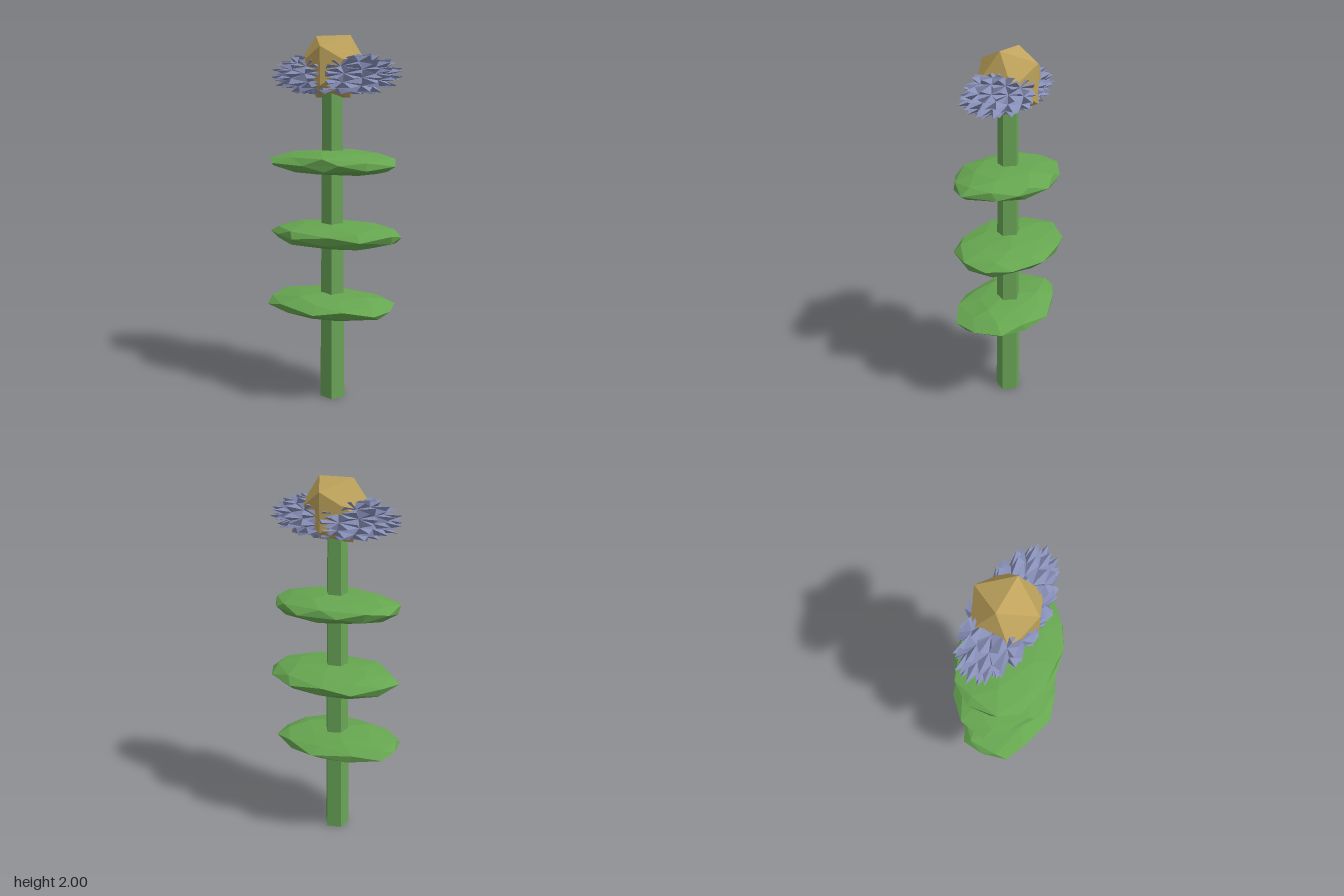
import * as THREE from 'three';
import { mergeVertices } from 'three/addons/utils/BufferGeometryUtils.js';

const AXIS_X = -0.013, AXIS_Z = -0.005;

function seeded(seed) {
  let s = seed;
  return () => ((s = (s * 16807) % 2147483647) / 2147483647);
}

function material(color) {
  return new THREE.MeshStandardMaterial({ color, flatShading: true });
}

// Welded unit icosphere whose corners are pushed in and out a little
function roughSphere(detail, amount, random) {
  const ball = new THREE.IcosahedronGeometry(1, detail);
  ball.deleteAttribute('normal');
  ball.deleteAttribute('uv');
  const geometry = mergeVertices(ball, 1e-3);
  const p = geometry.attributes.position;
  const v = new THREE.Vector3();
  for (let i = 0; i < p.count; i++) {
    v.fromBufferAttribute(p, i);
    v.x += (random() - 0.5) * amount;
    v.y += (random() - 0.5) * amount;
    v.z += (random() - 0.5) * amount;
    p.setXYZ(i, v.x, v.y, v.z);
  }
  return geometry;
}

// Scale and move a geometry so it fills the given box
function fitBox(geometry, min, max) {
  geometry.computeBoundingBox();
  const { min: a, max: b } = geometry.boundingBox;
  const s = [0, 1, 2].map((k) => (max[k] - min[k]) / (b.getComponent(k) - a.getComponent(k)));
  geometry.translate(-a.x, -a.y, -a.z);
  geometry.scale(...s);
  geometry.translate(...min);
  geometry.computeVertexNormals();
  return geometry;
}

// Raise a sharp pyramid on every face of a sphere
function spikySphere(detail, random) {
  const base = roughSphere(detail, 0.06, random);
  const p = base.attributes.position, index = base.index;
  const out = [];
  for (let f = 0; f < index.count; f += 3) {
    const c = [0, 1, 2].map((k) =>
      new THREE.Vector3().fromBufferAttribute(p, index.getX(f + k)).multiplyScalar(0.86));
    const tip = new THREE.Vector3().add(c[0]).add(c[1]).add(c[2]);
    tip.setLength(1.02 + random() * 0.08);
    for (let k = 0; k < 3; k++) {
      for (const q of [c[k], c[(k + 1) % 3], tip]) {
        // Flatten the crown and the underside
        out.push(q.x, THREE.MathUtils.clamp(q.y, -0.86, 0.86), q.z);
      }
    }
  }
  const geometry = new THREE.BufferGeometry();
  geometry.setAttribute('position', new THREE.Float32BufferAttribute(out, 3));
  return geometry;
}

export function createModel() {
  const group = new THREE.Group();
  const add = (name, geometry, color) => {
    const mesh = new THREE.Mesh(geometry, material(color));
    mesh.name = name;
    group.add(mesh);
    return mesh;
  };

  // Five-sided tapering stem with one corner towards +x
  const stem = add('stem', new THREE.CylinderGeometry(0.056, 0.072, 1.8, 5), 0x6aa557);
  stem.rotation.y = Math.PI / 2;
  stem.position.set(AXIS_X, 0.9, 0);

  // Three flat leaf discs
  const leaves = [
    { name: 'lowerLeaf', min: [-0.375, 0.475, -0.25], max: [0.335, 0.612, 0.277] },
    { name: 'middleLeaf', min: [-0.378, 0.867, -0.275], max: [0.365, 1.007, 0.235] },
    { name: 'upperLeaf', min: [-0.355, 1.262, -0.27], max: [0.372, 1.4, 0.247] },
  ];
  leaves.forEach(({ name, min, max }, i) => {
    const disc = roughSphere(1, 0.13, seeded(411 + i * 97));
    disc.rotateY(i * 0.7);
    add(name, fitBox(disc, min, max), 0x66a650);
  });

  // Spiky flattened petal ring
  const petals = spikySphere(2, seeded(2027));
  add('petals', fitBox(petals, [-0.385, 1.695, -0.19], [0.385, 1.9, 0.175]), 0x8890b8);

  // Faceted flower centre
  const centre = add('flowerCentre', new THREE.IcosahedronGeometry(0.19, 0), 0xbfa35c);
  centre.position.set(AXIS_X, 1.838, AXIS_Z);

  return group;
}
